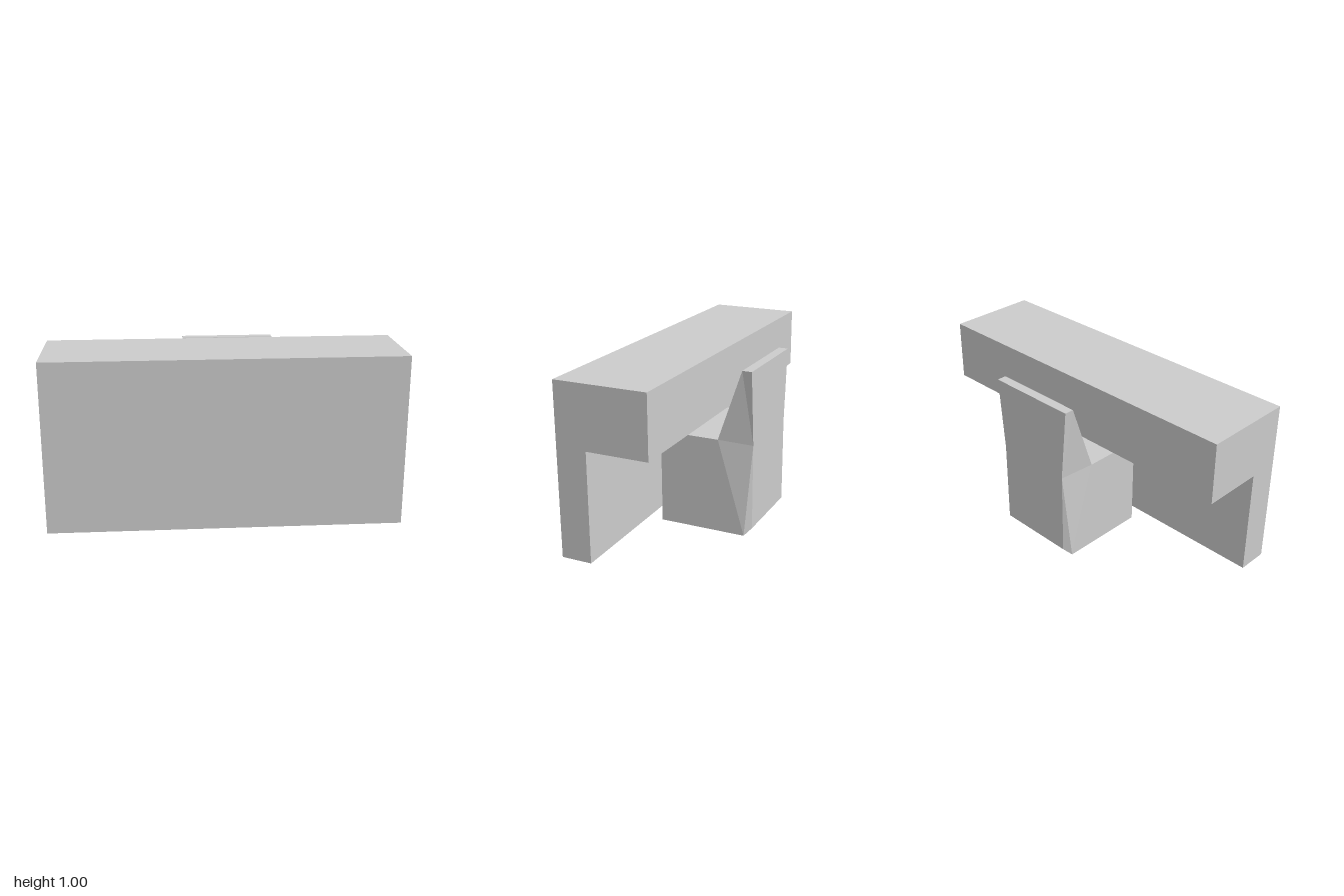
import * as THREE from 'three';

const material = () => new THREE.MeshStandardMaterial({ color: 0xcccccc, flatShading: true });

// L-shaped panel: front plate with a thick lip running back along its top
function makePanel() {
  const profile = [[0.395, 0.02], [0.22, 0.02], [0.22, 0.643], [-0.135, 0.643], [-0.135, 0.997], [0.395, 0.997]];
  const shape = new THREE.Shape(profile.map(([z, y]) => new THREE.Vector2(-z, y)));
  const geo = new THREE.ExtrudeGeometry(shape, { depth: 2, bevelEnabled: false });
  geo.rotateY(Math.PI / 2);
  geo.translate(-1, 0, 0);
  const mesh = new THREE.Mesh(geo, material());
  mesh.name = 'panel';
  return mesh;
}

// Block with a wedge tongue at the back and a rectangular socket underneath
function makeClip() {
  const positions = [];
  const face = (...pts) => {
    for (let i = 1; i < pts.length - 1; i++) positions.push(...pts[0], ...pts[i], ...pts[i + 1]);
  };
  const centre = 0.06, wide = 0.272, narrow = 0.235;

  // Side outline: [z, y, half width]
  const outline = [
    [0.15, 0, wide], [0.15, 0.548, wide], [-0.2, 0.548, wide], [-0.34, 0.955, wide],
    [-0.395, 0.955, wide], [-0.395, 0.53, narrow], [-0.395, 0.037, narrow], [-0.36, 0, wide],
  ];
  const at = (i, side) => [centre + side * outline[i][2], outline[i][1], outline[i][0]];

  // Front, top, tongue and back faces spanning the width
  for (let i = 0; i < outline.length - 1; i++) face(at(i, -1), at(i, 1), at(i + 1, 1), at(i + 1, -1));

  // Mirrored side faces: flat block side, then the pinched tongue facets
  for (const side of [1, -1]) {
    for (const f of [[0, 7, 2, 1], [2, 7, 5], [7, 6, 5], [2, 5, 3], [5, 4, 3]]) {
      const pts = f.map((i) => at(i, side));
      face(...(side > 0 ? pts : pts.reverse()));
    }
  }

  // Underside rim, socket walls and socket ceiling
  const rect = (x0, x1, z0, z1, y) => [[x1, y, z1], [x1, y, z0], [x0, y, z0], [x0, y, z1]];
  const rim = rect(centre - wide, centre + wide, -0.36, 0.15, 0);
  const mouth = rect(-0.14, 0.265, -0.295, 0.08, 0);
  const ceiling = rect(-0.14, 0.265, -0.295, 0.08, 0.14);
  for (let i = 0; i < 4; i++) {
    const j = (i + 1) % 4;
    face(rim[i], mouth[i], mouth[j], rim[j]);
    face(mouth[i], ceiling[i], ceiling[j], mouth[j]);
  }
  face(...ceiling.reverse());

  const geo = new THREE.BufferGeometry();
  geo.setAttribute('position', new THREE.Float32BufferAttribute(positions, 3));
  geo.computeVertexNormals();
  const mesh = new THREE.Mesh(geo, material());
  mesh.name = 'clipBlock';
  return mesh;
}

export function createModel() {
  const group = new THREE.Group();
  group.name = 'panelWithClip';
  group.add(makePanel(), makeClip());
  return group;
}
